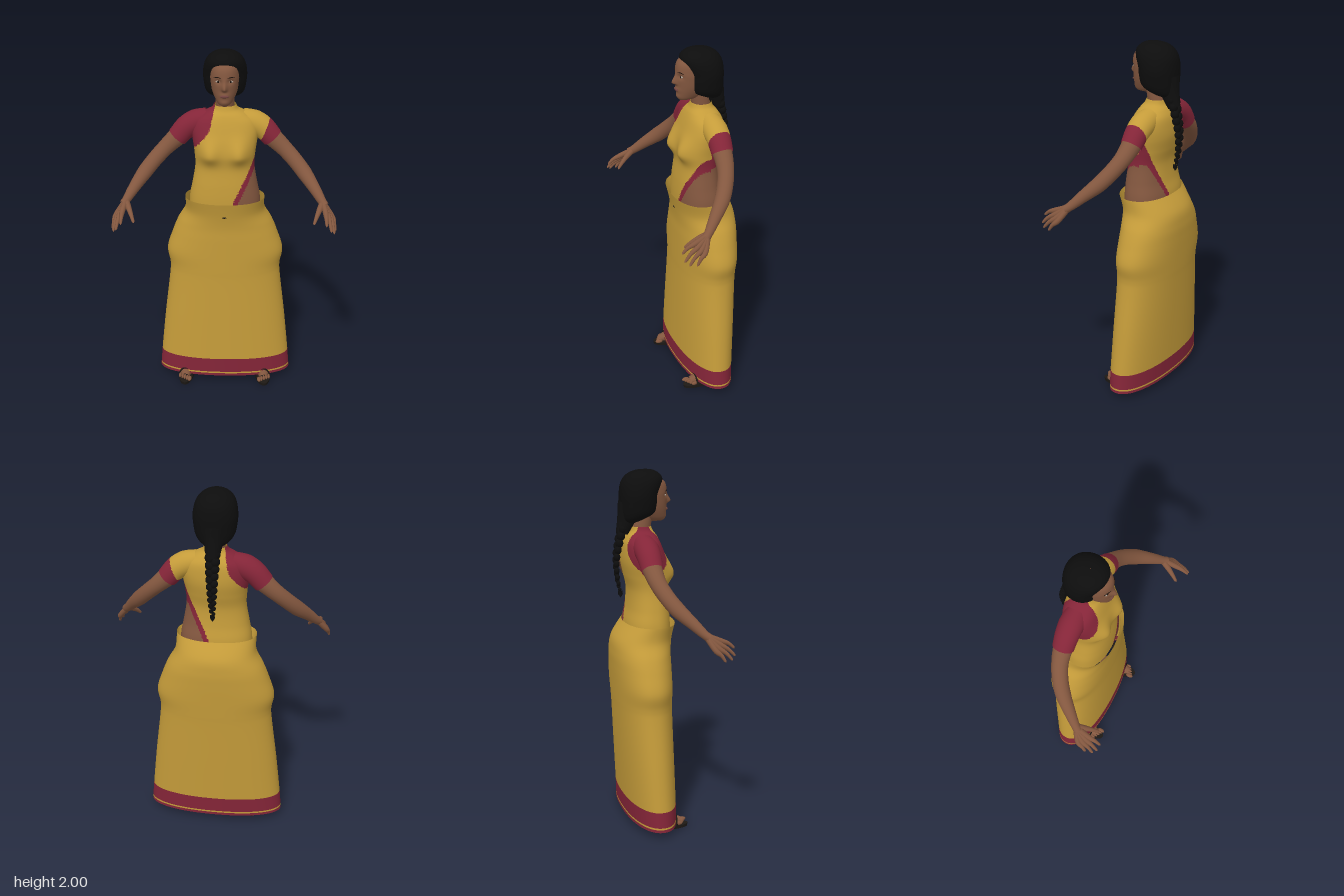
import * as THREE from 'three';

const mat = (name, color, side = THREE.FrontSide) => {
  const m = new THREE.MeshStandardMaterial({ color, side });
  m.name = name;
  return m;
};
const V = (x, y, z) => new THREE.Vector3(x, y, z);
const bell = (d, w) => Math.exp(-(d * d) / (w * w));

export function createModel() {
  const skin = mat('skin', 0x83573f);
  const gold = mat('gold cloth', 0xc59c3a, THREE.DoubleSide);
  const red = mat('red cloth', 0x842538, THREE.DoubleSide);
  const hairMat = mat('black hair', 0x0d0d0d);
  const sole = mat('dark sole', 0x1d1915);
  const lipMat = mat('lips', 0x744440);
  const eyeMat = mat('eye white', 0xa89c90);
  const irisMat = mat('dark iris', 0x1e130d);

  const root = new THREE.Group();
  const add = (name, geo, material, parent = root) => {
    const m = new THREE.Mesh(geo, material);
    m.name = name;
    parent.add(m);
    return m;
  };
  const group = (name, parent = root) => {
    const g = new THREE.Group();
    g.name = name;
    parent.add(g);
    return g;
  };

  // Sorts the triangles of an indexed geometry into material groups
  const paint = (geo, pick, count) => {
    const p = geo.attributes.position, idx = geo.index.array;
    const bins = Array.from({ length: count }, () => []);
    for (let i = 0; i < idx.length; i += 3) {
      const t = [idx[i], idx[i + 1], idx[i + 2]];
      const mean = (f) => t.reduce((s, k) => s + p[f](k), 0) / 3;
      bins[pick(mean('getX'), mean('getY'), mean('getZ'))].push(...t);
    }
    geo.setIndex(bins.flat());
    let start = 0;
    bins.forEach((b, k) => { geo.addGroup(start, b.length, k); start += b.length; });
    return geo;
  };

  // Horizontal cross-sections [y, halfWidth, zFront, zBack], smoothed upward
  const loft = (rows, { rings = 40, seg = 64, power = 2, bump } = {}) => {
    const a = new THREE.SplineCurve(rows.map((r) => new THREE.Vector2(r[0], r[1])));
    const b = new THREE.SplineCurve(rows.map((r) => new THREE.Vector2(r[2], r[3])));
    const pos = [], idx = [];
    const round = (v) => Math.sign(v) * Math.pow(Math.abs(v), 2 / power);
    for (let i = 0; i <= rings; i++) {
      const { x: y, y: w } = a.getPoint(i / rings), { x: zf, y: zb } = b.getPoint(i / rings);
      for (let j = 0; j < seg; j++) {
        const t = (j / seg) * Math.PI * 2;
        const x = w * round(Math.sin(t));
        let z = (zf + zb) / 2 + ((zf - zb) / 2) * round(Math.cos(t));
        if (bump && Math.cos(t) > 0) z += bump(x, y) * Math.min(1, Math.cos(t) * 2.5);
        pos.push(x, y, z);
        if (i < rings) {
          const p = i * seg + j, q = i * seg + ((j + 1) % seg);
          idx.push(p, q, p + seg, q, q + seg, p + seg);
        }
      }
    }
    const g = new THREE.BufferGeometry();
    g.setAttribute('position', new THREE.Float32BufferAttribute(pos, 3));
    g.setIndex(idx);
    g.computeVertexNormals();
    return g;
  };

  // Tapered tube through [x, y, z, radius]
  const limb = (pts, n = 24, m = 18) => {
    const curve = new THREE.CatmullRomCurve3(pts.map((p) => V(p[0], p[1], p[2])));
    const g = new THREE.TubeGeometry(curve, n, 1, m);
    const pos = g.attributes.position, v = V(0, 0, 0);
    for (let i = 0; i <= n; i++) {
      const c = curve.getPointAt(i / n), t = curve.getUtoTmapping(i / n) * (pts.length - 1);
      const k = Math.min(Math.floor(t), pts.length - 2);
      const r = THREE.MathUtils.lerp(pts[k][3], pts[k + 1][3], t - k);
      for (let j = 0; j <= m; j++) {
        const o = i * (m + 1) + j;
        v.fromBufferAttribute(pos, o).sub(c).multiplyScalar(r).add(c);
        pos.setXYZ(o, v.x, v.y, v.z);
      }
    }
    return g;
  };
  const ball = (x, y, z, sx, sy, sz) =>
    new THREE.SphereGeometry(1, 20, 14).scale(sx, sy, sz).translate(x, y, z);

  // Long skirt with a red hem and a thin gold line
  const skirt = group('skirt');
  const cloth = { seg: 96, power: 2.2 };
  add('skirtCloth', loft([[0.155, 0.375, 0.07, -0.21], [0.4, 0.35, 0.065, -0.225], [0.65, 0.32, 0.06, -0.24],
    [0.73, 0.316, 0.06, -0.246], [0.82, 0.33, 0.06, -0.252], [0.92, 0.3, 0.06, -0.258], [1.0, 0.268, 0.06, -0.26],
    [1.08, 0.225, 0.07, -0.248], [1.165, 0.222, 0.088, -0.19]], { ...cloth, rings: 56 }), gold, skirt);
  const hemRow = (y) => [y, 0.388 - 0.084 * y, 0.07, -0.205 - 0.03 * y];
  [['hemEdge', 0.04, 0.056, red], ['hemLine', 0.056, 0.066, gold], ['hemBand', 0.066, 0.155, red]].forEach(
    ([name, a, b, m]) => add(name, loft([hemRow(a), hemRow(b)], { ...cloth, rings: 2 }), m, skirt));
  add('navel', ball(0, 1.08, 0.066, 0.014, 0.005, 0.008), sole, skirt);

  // Torso: gold drape over the left shoulder, red blouse, bare left waist
  const drapeEdge = (x, y, z) => {
    const left = (y < 1.4 ? 0.05 + (y - 1.17) * 0.48 : 0.16 + (y - 1.4) * 0.4) - (z < -0.08 && y < 1.5 ? 0.025 : 0);
    const right = y > 1.565 ? 0.055 + (1.685 - y) * 0.25 : 0.085 + (1.565 - y) * 0.8;
    if (y < 1.36 && x > left + 0.03) return 2;
    return x > left || (y > 1.41 && x < -right) ? 1 : 0;
  };
  const bust = (x, y) => 0.036 * (bell(x - 0.085, 0.055) + bell(x + 0.085, 0.055)) * bell(y - 1.44, y > 1.44 ? 0.075 : 0.05);
  const torso = loft([[1.08, 0.2, 0.06, -0.19], [1.17, 0.195, 0.06, -0.185], [1.25, 0.18, 0.055, -0.17],
    [1.35, 0.164, 0.045, -0.165], [1.43, 0.168, 0.05, -0.182], [1.5, 0.178, 0.042, -0.195], [1.56, 0.182, 0.025, -0.195],
    [1.61, 0.165, 0.008, -0.188], [1.645, 0.12, -0.008, -0.17], [1.67, 0.075, -0.025, -0.15], [1.695, 0.06, -0.035, -0.142]],
  { rings: 110, seg: 128, power: 2.3, bump: bust });
  add('torso', paint(torso, drapeEdge, 3), [gold, red, skin]);
  add('neck', limb([[0, 1.62, -0.095, 0.056], [0, 1.69, -0.085, 0.05], [0, 1.78, -0.07, 0.052]]), skin);

  // Arms, sleeves and hands
  for (const s of [1, -1]) {
    const arm = group(s > 0 ? 'leftArm' : 'rightArm');
    const at = (pts) => pts.map(([x, y, z, r]) => [s * x, y, z, r]);
    const sleeve = limb(at([[0.09, 1.605, -0.1, 0.06], [0.16, 1.585, -0.1, 0.068], [0.21, 1.555, -0.1, 0.064],
      [0.262, 1.497, -0.098, 0.058]]), 60, 48);
    add('sleeve', paint(sleeve, (x, y, z) => (drapeEdge(x, y, z) || x < 0 ? 1 : 0), 2), [gold, red], arm);
    add('armSkin', limb(at([[0.19, 1.56, -0.1, 0.05], [0.26, 1.5, -0.098, 0.053], [0.33, 1.435, -0.085, 0.045],
      [0.39, 1.375, -0.055, 0.043], [0.44, 1.32, -0.015, 0.042], [0.495, 1.255, 0.05, 0.032],
      [0.537, 1.2, 0.105, 0.023], [0.55, 1.185, 0.125, 0.024]]), 40), skin, arm);
    // Palm as a broad bundle of tapering bones, then fingers
    const tips = [[0.555, 1.125, 0.258], [0.582, 1.09, 0.255], [0.599, 1.072, 0.235], [0.607, 1.068, 0.195]];
    tips.forEach(([x, y, z], i) => {
      const k = [0.552 + i * 0.014, 1.166 - i * 0.014, 0.19 - i * 0.014];
      add('finger' + (i + 1), limb(at([[0.54, 1.197, 0.108, 0.017], [...k, 0.015],
        [k[0] * 0.45 + x * 0.55, k[1] * 0.45 + y * 0.55 + 0.008, k[2] * 0.45 + z * 0.55, 0.0105],
        [x, y, z, 0.006], [x, y - 0.002, z + 0.002, 0.0005]]), 20, 10), skin, arm);
    });
    add('thumb', limb(at([[0.538, 1.2, 0.105, 0.018], [0.52, 1.175, 0.15, 0.016], [0.502, 1.145, 0.19, 0.011],
      [0.489, 1.118, 0.218, 0.007], [0.488, 1.115, 0.22, 0.0005]]), 20, 10), skin, arm);

    // Legs, feet and sandals
    const foot = group(s > 0 ? 'leftFoot' : 'rightFoot');
    foot.position.set(s * 0.226, 0, -0.012);
    foot.rotation.y = s * 0.08;
    add('sandalSole', new THREE.CylinderGeometry(1, 0.97, 0.018, 32).scale(0.046, 1, 0.128).translate(0, 0.009, 0), sole, foot);
    add('footSkin', limb([[0, 0.04, -0.115, 0.012], [0, 0.046, -0.09, 0.032], [0, 0.05, -0.03, 0.034],
      [0, 0.042, 0.04, 0.03], [0, 0.034, 0.085, 0.02]]).scale(1.15, 1, 1), skin, foot);
    add('ankle', limb([[0, 0.05, -0.07, 0.034], [-s * 0.005, 0.12, -0.075, 0.032], [-s * 0.02, 0.3, -0.08, 0.05]]), skin, foot);
    for (let i = 0; i < 5; i++)
      add('toe', ball(s * (i * 0.015 - 0.028), 0.03, 0.1 - i * 0.008, i ? 0.008 : 0.012, 0.011, 0.022), skin, foot);
    add('sandalStrap', new THREE.TorusGeometry(0.04, 0.004, 8, 24, Math.PI).scale(1, 1.5, 3).translate(0, 0.014, 0.05), sole, foot);
  }

  // Head with nose, brow, cheeks and mouth relief
  const head = group('head');
  const face = (x, y) => 0.026 * bell(x, 0.013) * bell(y - 1.824, y > 1.824 ? 0.032 : 0.012)
    - 0.01 * (bell(x - 0.032, 0.018) + bell(x + 0.032, 0.018)) * bell(y - 1.862, 0.014)
    + 0.007 * bell(x, 0.025) * bell(y - 1.785, 0.014) + 0.005 * bell(x, 0.025) * bell(y - 1.745, 0.014);
  add('face', loft([[1.718, 0.012, 0.03, -0.03], [1.73, 0.036, 0.044, -0.07], [1.755, 0.053, 0.05, -0.11],
    [1.795, 0.07, 0.052, -0.15], [1.84, 0.079, 0.055, -0.175], [1.88, 0.082, 0.056, -0.18], [1.93, 0.076, 0.044, -0.165],
    [1.965, 0.05, 0.0, -0.12], [1.98, 0.002, -0.06, -0.064]], { rings: 80, seg: 96, power: 2.15, bump: face }), skin, head);
  add('lips', ball(0, 1.783, 0.0555, 0.024, 0.008, 0.006), lipMat, head);
  for (const s of [1, -1]) {
    add('eye', ball(s * 0.033, 1.861, 0.038, 0.014, 0.006, 0.006), eyeMat, head);
    add('iris', ball(s * 0.033, 1.861, 0.041, 0.006, 0.0058, 0.0045), irisMat, head);
    add('eyebrow', limb([[s * 0.015, 1.881, 0.053, 0.001], [s * 0.035, 1.887, 0.047, 0.003], [s * 0.056, 1.881, 0.034, 0.001]], 12, 8), irisMat, head);
  }

  // Hair cap, gathered into a plait
  const hair = group('hair');
  add('hairCap', loft([[1.705, 0.02, -0.15, -0.18], [1.735, 0.075, -0.075, -0.198], [1.77, 0.104, -0.015, -0.204],
    [1.82, 0.115, 0.002, -0.206], [1.87, 0.119, 0.006, -0.206], [1.92, 0.112, 0.024, -0.2], [1.955, 0.097, 0.028, -0.183],
    [1.98, 0.072, 0.008, -0.155], [1.995, 0.038, -0.022, -0.115], [2.0, 0.002, -0.062, -0.066]],
  { rings: 60, seg: 72, power: 2.1 }), hairMat, hair);
  add('hairGather', limb([[0, 1.82, -0.15, 0.065], [0, 1.74, -0.168, 0.052], [0, 1.66, -0.195, 0.034]]), hairMat, hair);
  const plait = new THREE.CatmullRomCurve3([V(0, 1.72, -0.185), V(0, 1.62, -0.21), V(0, 1.52, -0.228), V(0, 1.42, -0.224), V(0, 1.33, -0.208)]);
  for (let i = 0; i < 22; i++) {
    const p = plait.getPoint(i / 21), r = 0.036 - 0.024 * Math.pow(i / 21, 1.4), s = i % 2 ? 1 : -1;
    const strand = add('plaitStrand', ball(0, 0, 0, r * 0.75, r * 0.85, r * 0.68), hairMat, hair);
    strand.position.set(p.x + s * r * 0.42, p.y, p.z);
    strand.rotation.z = -s * 0.6;
  }
  add('plaitTip', limb([[0, 1.34, -0.208, 0.012], [0, 1.32, -0.206, 0.013], [0, 1.3, -0.205, 0.001]], 10, 10), hairMat, hair);

  return root;
}
